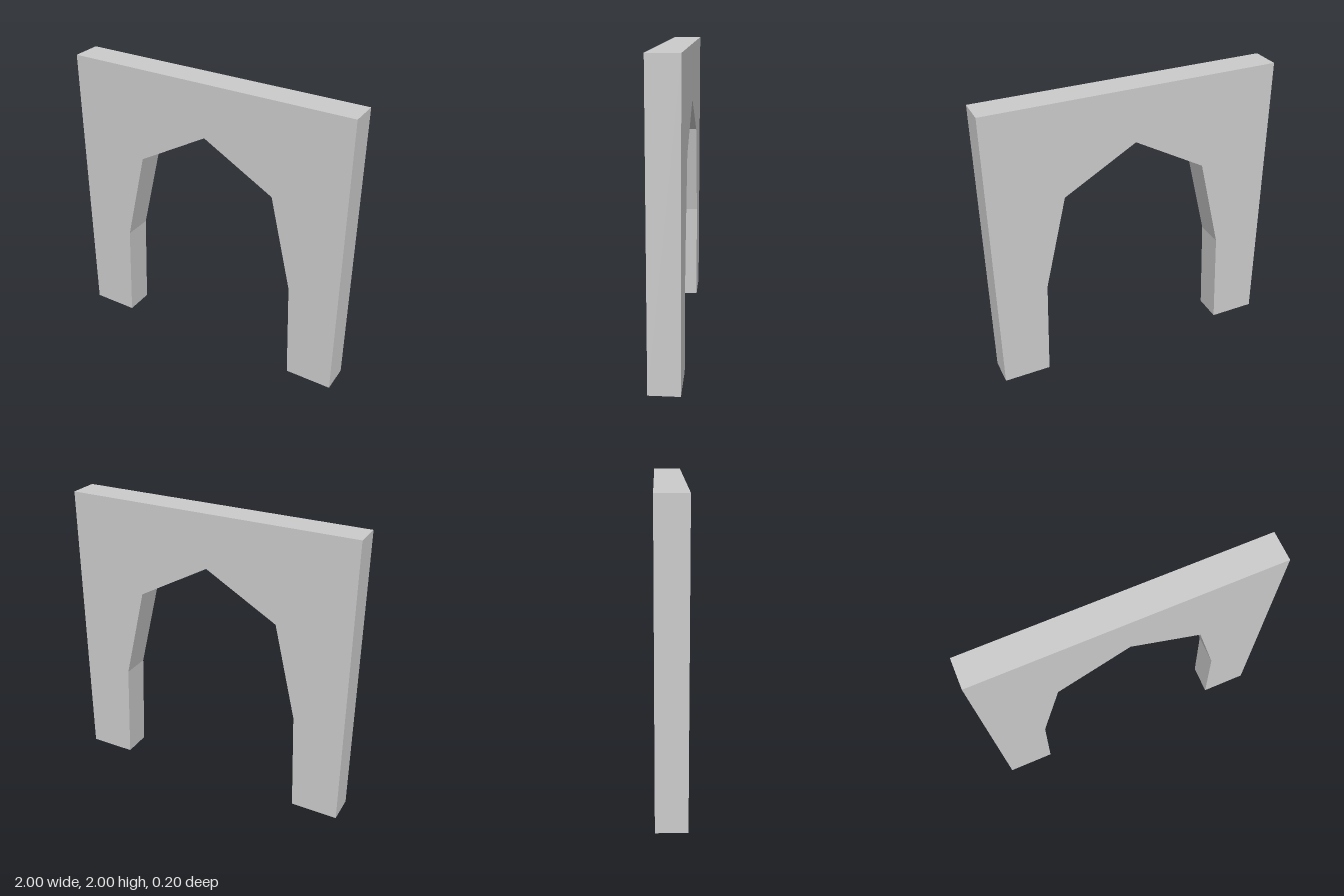
import * as THREE from 'three';

export function createModel() {
  const group = new THREE.Group();
  group.name = 'archway';
  const depth = 0.2;

  // Right half of the opening, from floor to just below the peak
  const side = [[0.677, 0], [0.65, 0.705], [0.495, 1.355]];
  const mirrored = side.map(([x, y]) => [-x, y]).reverse();

  // Wall outline with the pointed opening cut up from the floor
  const outline = [
    [1, 0], [1, 2], [-1, 2], [-1, 0],
    ...mirrored.reverse(), [0, 1.636], ...side.slice().reverse(),
  ];
  const shape = new THREE.Shape(outline.map(([x, y]) => new THREE.Vector2(x, y)));

  const geometry = new THREE.ExtrudeGeometry(shape, { depth, bevelEnabled: false });
  geometry.translate(0, 0, -depth / 2);

  const wall = new THREE.Mesh(
    geometry,
    new THREE.MeshStandardMaterial({ color: 0xcccccc, flatShading: true }),
  );
  wall.name = 'archWall';
  group.add(wall);
  return group;
}
